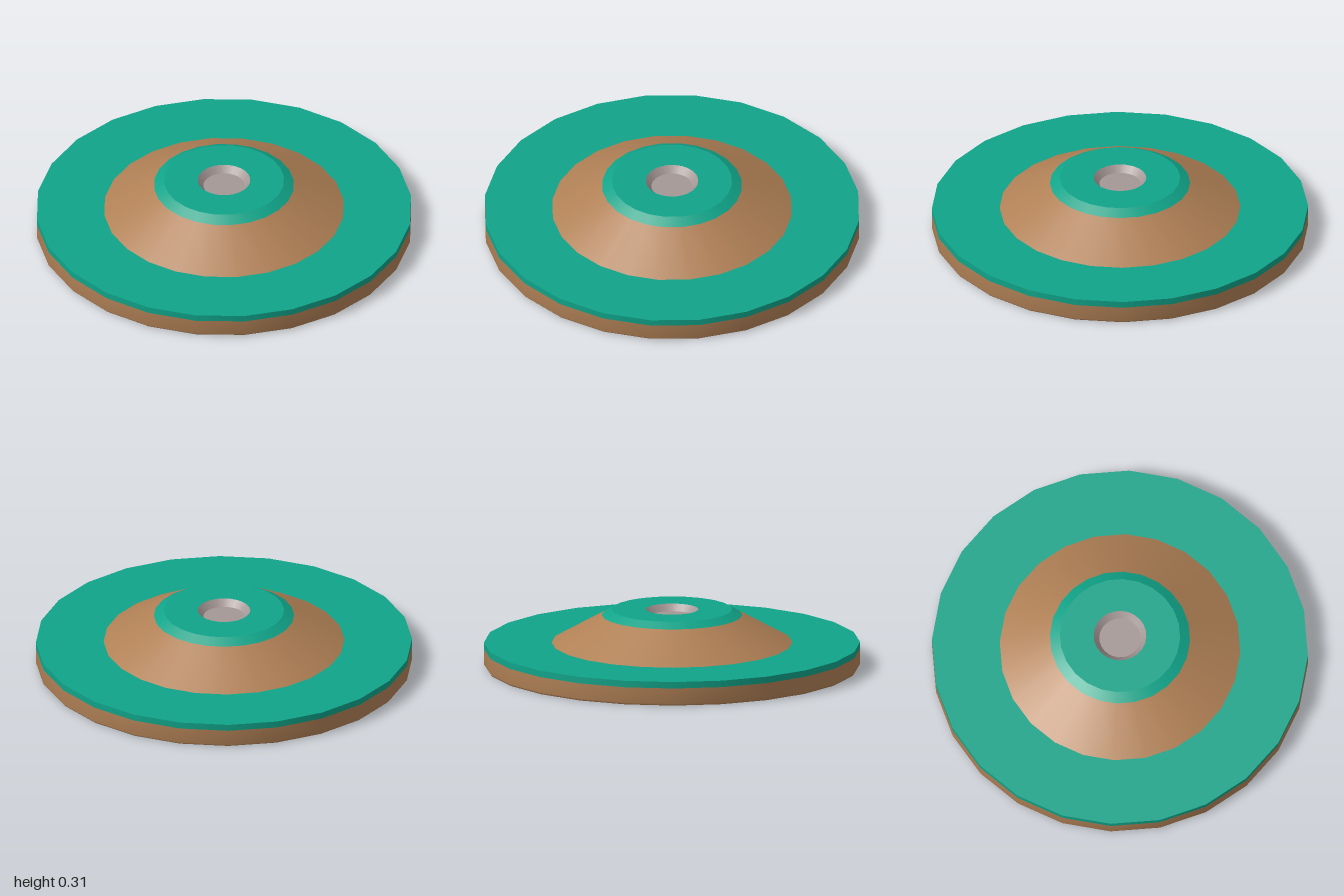
import * as THREE from 'three';

const SIDES = 24;
const teal = new THREE.MeshStandardMaterial({ color: 0x10a489 });
const brown = new THREE.MeshStandardMaterial({ color: 0xb08055 });
const grey = new THREE.MeshStandardMaterial({ color: 0xa59896 });

// Each listed profile runs counter-clockwise, so its outer side faces out.
function turned(name, material, ...profiles) {
  const group = new THREE.Group();
  group.name = name;
  for (const profile of profiles) {
    const points = profile.map(([r, y]) => new THREE.Vector2(r, y));
    const mesh = new THREE.Mesh(new THREE.LatheGeometry(points, SIDES), material);
    mesh.name = name + 'Surface';
    group.add(mesh);
  }
  return group;
}

export function createModel() {
  const model = new THREE.Group();
  model.name = 'flangedDisc';
  model.add(
    // Wide base disc
    turned('discUnderside', teal, [[0.32, 0], [0.64, 0], [0.99, 0]]),
    turned('discRim', brown, [[0.99, 0], [1, 0.012], [1, 0.095]]),
    turned('discTopPlate', teal, [[1, 0.095], [1, 0.13]], [[1, 0.13], [0.64, 0.13]]),
    // Raised cone and the bore beneath it
    turned('coneSlope', brown, [[0.64, 0.13], [0.373, 0.28]]),
    turned('boreWall', brown, [[0.32, 0.25], [0.32, 0]]),
    // Cap on the cone
    turned('coneCap', teal,
      [[0.373, 0.28], [0.32, 0.31]],
      [[0.32, 0.31], [0.14, 0.31]],
      [[0.14, 0.25], [0.32, 0.25]]),
    // Central cup, closed at its floor
    turned('hubCup', grey,
      [[0.14, 0.31], [0.11, 0.275]],
      [[0.11, 0.275], [0, 0.275]],
      [[0, 0.22], [0.14, 0.22]],
      [[0.14, 0.22], [0.14, 0.25]])
  );
  return model;
}
